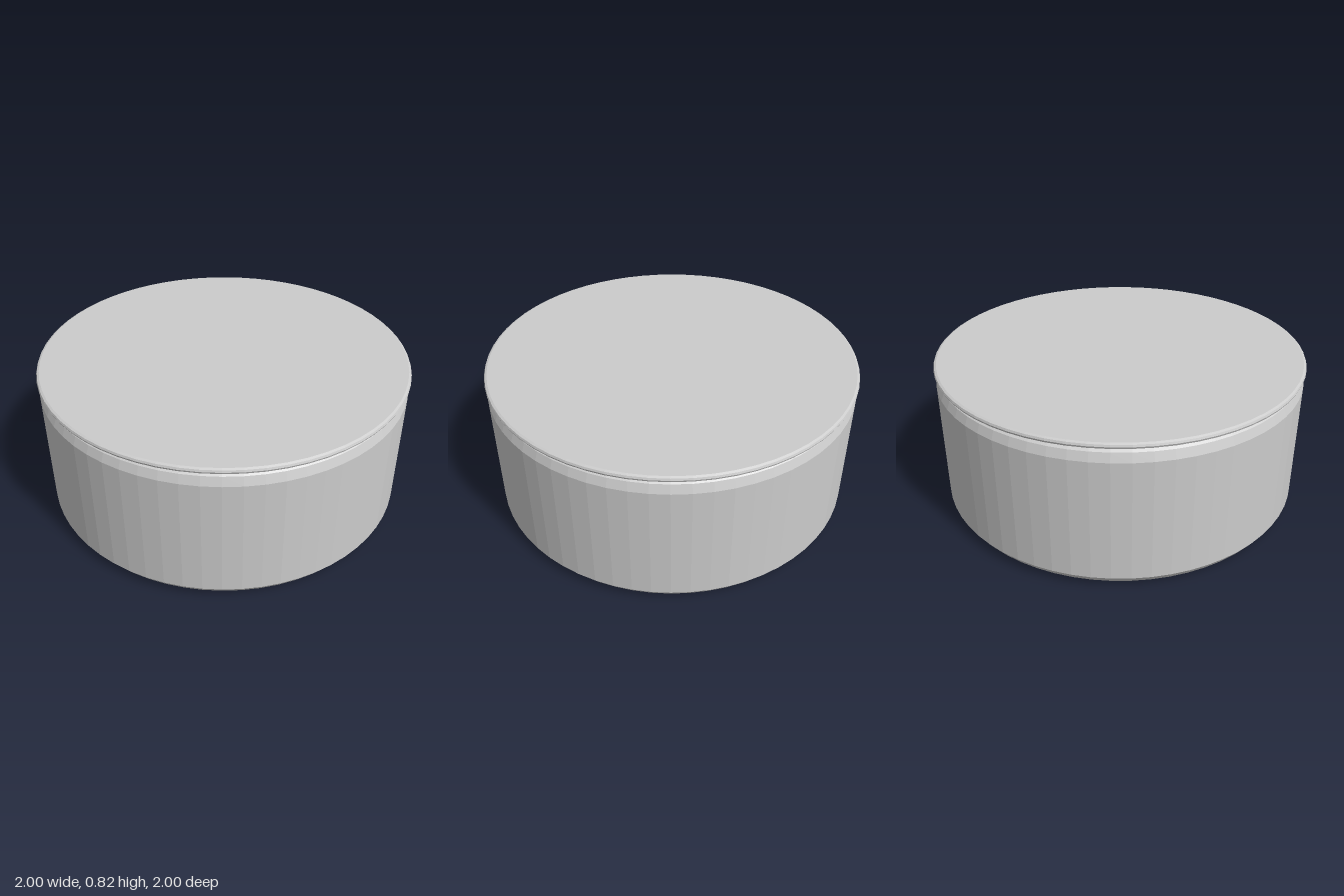
import * as THREE from 'three';

const SEGMENTS = 64;

// Closed solid of revolution; profile runs from the bottom centre to the top centre
function turned(name, profile, material) {
  const points = profile.map(([r, y]) => new THREE.Vector2(r, y));
  const mesh = new THREE.Mesh(new THREE.LatheGeometry(points, SEGMENTS), material);
  mesh.name = name;
  return mesh;
}

export function createModel() {
  const group = new THREE.Group();
  group.name = 'roundTin';
  const material = new THREE.MeshStandardMaterial({ color: 0xcccccc, flatShading: true });

  // Straight-walled body with bevelled base and shoulder
  group.add(turned('body', [
    [0, 0], [0.9, 0], [0.967, 0.02], [0.995, 0.06],
    [0.995, 0.72], [0.978, 0.765], [0.94, 0.793], [0, 0.793],
  ], material));

  // Thin lid with a softened rim
  group.add(turned('lid', [
    [0, 0.79], [0.985, 0.79], [0.996, 0.795], [1, 0.805],
    [0.996, 0.815], [0.985, 0.82], [0, 0.82],
  ], material));

  return group;
}
